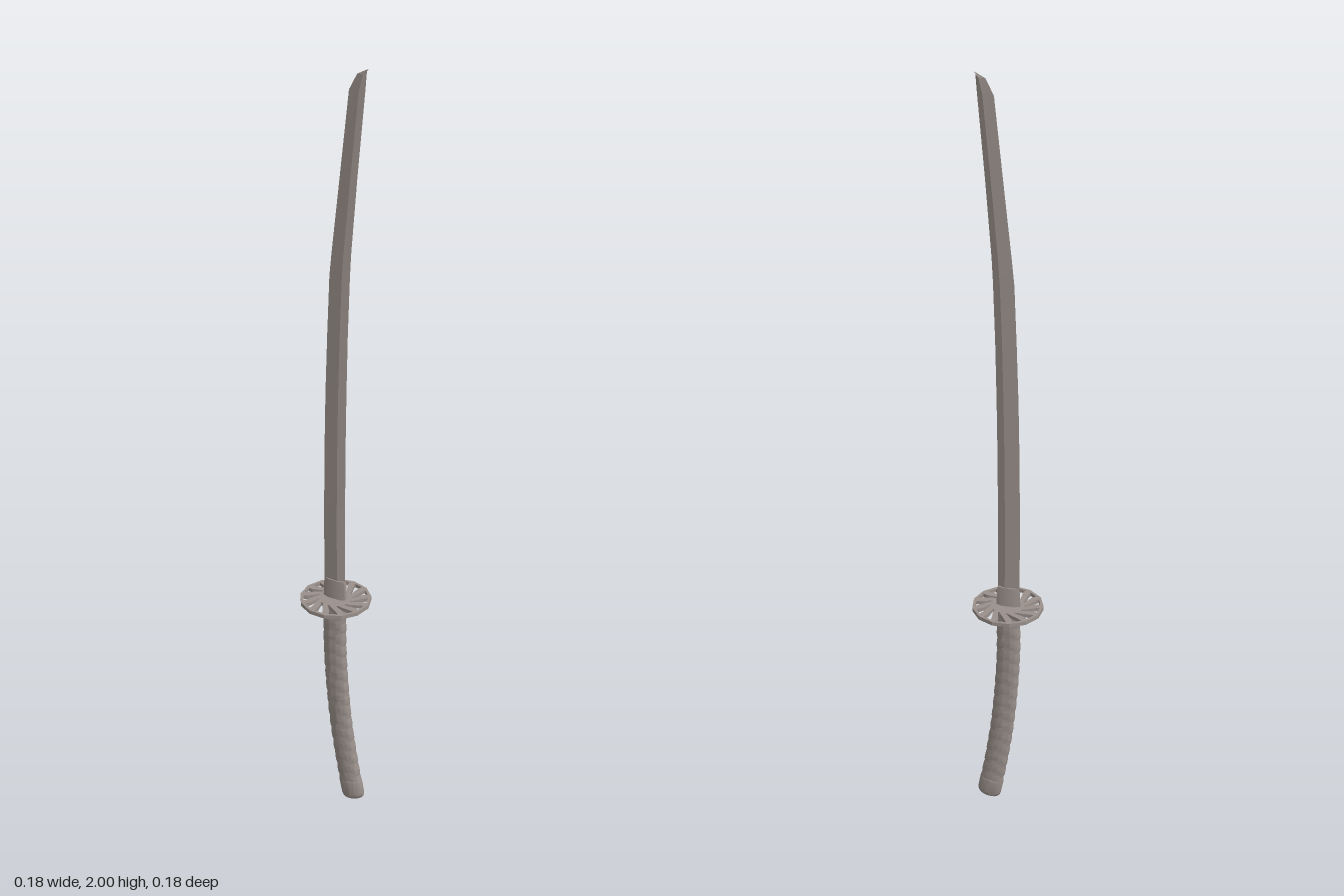
import * as THREE from 'three';
import { toCreasedNormals } from 'three/addons/utils/BufferGeometryUtils.js';

const steel = new THREE.MeshStandardMaterial({ color: 0x9a908b });

// Joins rings of points, listed from bottom to top, into a closed skin
function loft(rings, crease) {
  const n = rings[0].length, last = (rings.length - 1) * n, index = [];
  for (let i = 0; i < rings.length - 1; i++) {
    for (let j = 0; j < n; j++) {
      const a = i * n + j, b = i * n + (j + 1) % n;
      index.push(a, b, b + n, a, b + n, a + n);
    }
  }
  for (let j = 1; j < n - 1; j++) {
    index.push(0, j + 1, j, last, last + j, last + j + 1);
  }
  const geo = new THREE.BufferGeometry();
  geo.setAttribute('position', new THREE.Float32BufferAttribute(rings.flat(2), 3));
  geo.setIndex(index);
  return toCreasedNormals(geo, crease);
}

function add(group, name, geo) {
  const mesh = new THREE.Mesh(geo, steel);
  mesh.name = name;
  group.add(mesh);
}

// Curved single-edged blade: rows of [height, edge x, spine x, half thickness]
function bladeGeometry() {
  const rows = [
    [0.61, -0.031, 0.027, 0.006], [0.85, -0.032, 0.026, 0.006],
    [1.05, -0.030, 0.027, 0.0055], [1.2, -0.027, 0.029, 0.0055],
    [1.35, -0.022, 0.032, 0.005], [1.5, -0.016, 0.037, 0.005],
    [1.56, -0.010, 0.040, 0.005], [1.75, 0.011, 0.055, 0.0045],
    [1.95, 0.033, 0.073, 0.004], [1.988, 0.053, 0.077, 0.003],
    [2.0, 0.077, 0.081, 0.001],
  ];
  return loft(rows.map(([y, edge, spine, t]) => {
    const ridge = edge + (spine - edge) * 0.65;
    // The spine reaches the full height at the point
    const top = y > 1.96 ? 2 : y;
    return [[spine, top, 0], [ridge, y, -t], [edge, y, 0], [ridge, y, t]];
  }), 0.1);
}

// Flattened collar gripping the foot of the blade
function collarGeometry() {
  const rows = [[0.615, 1], [0.665, 0.94], [0.673, 0.86]];
  return loft(rows.map(([y, s]) => [
    [0.029, -0.006], [0.015, -0.010], [-0.018, -0.008], [-0.034, 0],
    [-0.018, 0.008], [0.015, 0.010], [0.029, 0.006],
  ].map(([x, z]) => [x * s, y, z * s])), 0.5);
}

// Pierced guard: faceted rim, curved spokes and a round hub
function guardGeometry() {
  const count = 13, step = Math.PI * 2 / count;
  const polar = (r, a) => new THREE.Vector2(r * Math.cos(a), r * Math.sin(a));
  const shape = new THREE.Shape(
    Array.from({ length: count }, (_, i) => polar(0.092, i * step)));
  for (let i = 0; i < count; i++) {
    const side = [], other = [];
    for (let k = 0; k <= 4; k++) {
      const t = k / 4, r = 0.043 + 0.04 * t;
      const mid = (i + 0.5) * step - 0.35 * (1 - t) * (1 - t);
      const half = step * (0.13 + 0.16 * t);
      side.push(polar(r, mid - half));
      other.unshift(polar(r, mid + half));
    }
    shape.holes.push(new THREE.Path([...side, ...other]));
  }
  const geo = new THREE.ExtrudeGeometry(shape, { depth: 0.01, bevelEnabled: false });
  geo.rotateX(-Math.PI / 2);
  geo.translate(0, 0.61, 0);
  return geo;
}

const gripLine = new THREE.CatmullRomCurve3([
  [0.055, 0.006], [0.034, 0.12], [0.015, 0.25], [0.002, 0.4], [-0.002, 0.5], [-0.001, 0.612],
].map(([x, y]) => new THREE.Vector3(x, y, 0)));

// Oval ring square to the grip's centre line; size(angle) scales it
function gripRing(t, size) {
  const p = gripLine.getPointAt(t), d = gripLine.getTangentAt(t), sides = 32;
  return Array.from({ length: sides }, (_, j) => {
    const a = j / sides * Math.PI * 2, s = size(a);
    const u = 0.032 * s * Math.cos(a);
    return [p.x + d.y * u, p.y - d.x * u, -0.018 * s * Math.sin(a)];
  });
}

// Wrapped grip with overlapping V-shaped bands
function gripGeometry() {
  const bands = 15, rows = bands * 10, rings = [];
  for (let i = 0; i <= rows; i++) {
    const t = 0.09 + 0.91 * i / rows;
    rings.push(gripRing(t, a => {
      const phase = (i / rows) * bands + 0.55 * Math.abs(Math.cos(a));
      const f = phase - Math.floor(phase);
      return 0.9 + 0.1 * Math.sqrt(Math.sin(Math.PI * Math.pow(f, 0.7)) + 1e-6);
    }));
  }
  return loft(rings, 0.9);
}

// Rounded cap closing the end of the grip
function pommelGeometry() {
  const rows = [[0, 0.7], [0.004, 0.84], [0.012, 0.95], [0.025, 1.01], [0.085, 1.02], [0.098, 0.97], [0.1, 0.9]];
  return loft(rows.map(([t, s]) => gripRing(t, () => s)), 0.8);
}

export function createModel() {
  const group = new THREE.Group();
  group.name = 'curvedSword';
  add(group, 'blade', bladeGeometry());
  add(group, 'bladeCollar', collarGeometry());
  add(group, 'guard', guardGeometry());
  add(group, 'grip', gripGeometry());
  add(group, 'pommel', pommelGeometry());
  return group;
}
